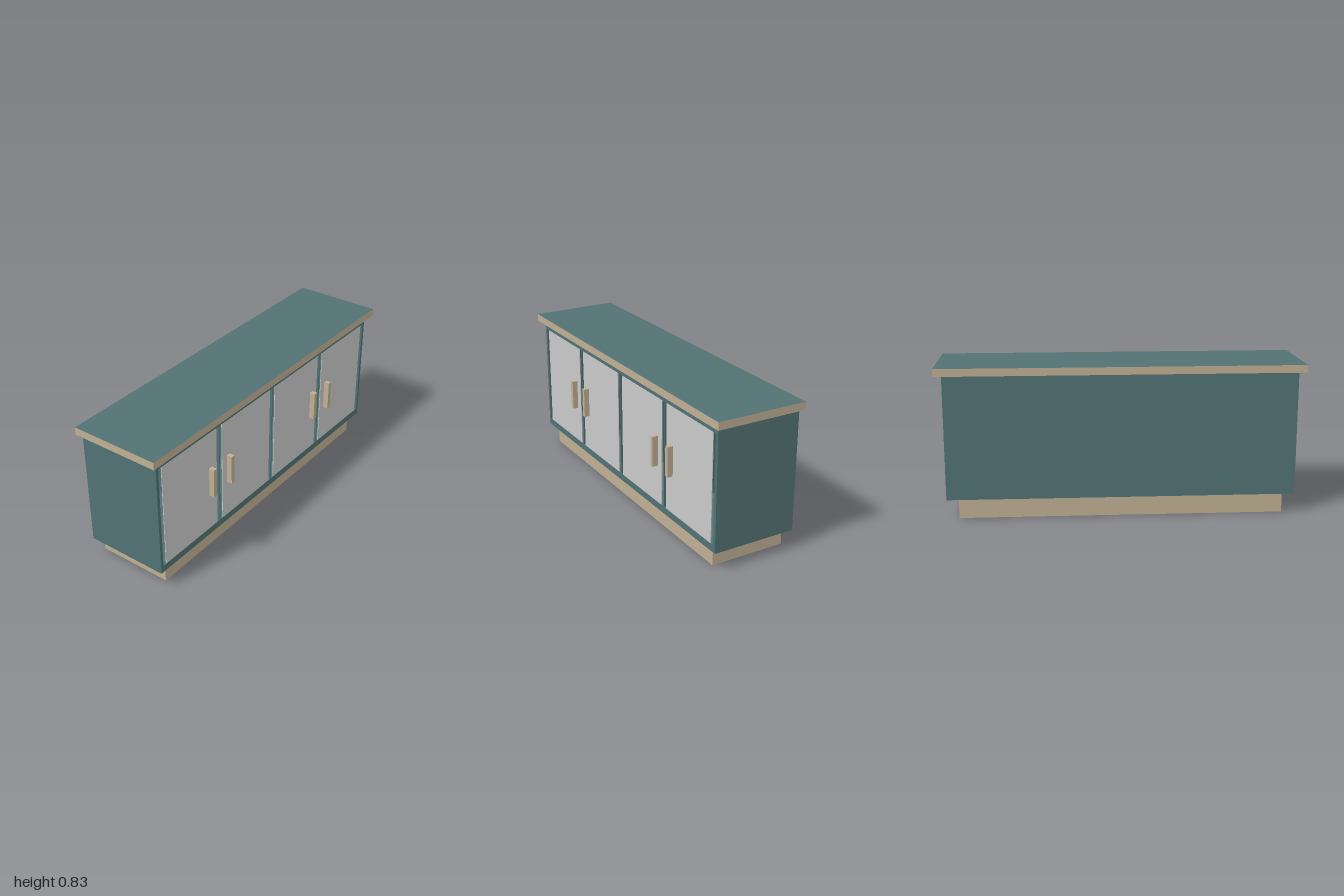
import * as THREE from 'three';

const mat = (name, color, side = THREE.FrontSide) => {
  const m = new THREE.MeshStandardMaterial({ color, side });
  m.name = name;
  return m;
};

export function createModel() {
  const teal = mat('teal paint', 0x527274);
  const wood = mat('light wood', 0xc0b093, THREE.DoubleSide);
  const grey = mat('grey door', 0xcacaca);

  const root = new THREE.Group();
  root.name = 'sideboard';

  // Box given by its extents on each axis
  const box = (name, material, [x0, x1], [y0, y1], [z0, z1], parent = root) => {
    const mesh = new THREE.Mesh(new THREE.BoxGeometry(x1 - x0, y1 - y0, z1 - z0), material);
    mesh.position.set((x0 + x1) / 2, (y0 + y1) / 2, (z0 + z1) / 2);
    mesh.name = name;
    parent.add(mesh);
    return mesh;
  };

  const W = 0.955, IN = 0.937;          // outer and inner half widths
  const Y0 = 0.108, Y1 = 0.788;         // carcass bottom and top
  const OPEN = [0.148, 0.745];          // opening height
  const BACK = -0.252, FRONT = 0.222;

  // Countertop: painted top face, wooden edges and underside
  box('countertop', [wood, wood, teal, wood, wood, wood], [-1, 1], [Y1, 0.83], [-0.253, 0.253]);

  // Hollow carcass
  const carcass = new THREE.Group();
  carcass.name = 'carcass';
  root.add(carcass);
  const depth = [BACK, FRONT];
  box('rightSide', teal, [-W, -IN], [Y0, Y1], depth, carcass);
  box('leftSide', teal, [IN, W], [Y0, Y1], depth, carcass);
  box('floorPanel', teal, [-IN, IN], [Y0, OPEN[0]], depth, carcass);
  box('topPanel', teal, [-IN, IN], [OPEN[1], Y1], depth, carcass);
  box('backPanel', teal, [-IN, IN], OPEN, [BACK, BACK + 0.006], carcass);

  // Four bays: partitions, doors with a gap at each side, and handles
  const bay = (2 * IN) / 4, gap = 0.023;
  for (let i = 0; i < 4; i++) {
    const x = -IN + i * bay;
    if (i > 0) box('partition', teal, [x - 0.0025, x + 0.0025], OPEN, [BACK + 0.006, FRONT], carcass);
    box('door', grey, [x + gap, x + bay - gap], OPEN, [FRONT - 0.004, FRONT]);
  }
  for (const x of [-0.544, -0.394, 0.394, 0.544]) {
    box('handle', wood, [x - 0.012, x + 0.012], [0.362, 0.532], [FRONT, 0.253]);
  }

  // Plinth: four thin boards, open below
  const plinth = new THREE.Group();
  plinth.name = 'plinth';
  root.add(plinth);
  const board = (width, x, z, turn) => {
    const mesh = new THREE.Mesh(new THREE.PlaneGeometry(width, Y0), wood);
    mesh.position.set(x, Y0 / 2, z);
    mesh.rotation.y = turn;
    mesh.name = 'plinthBoard';
    plinth.add(mesh);
  };
  const PX = 0.89, PF = 0.19, PB = -0.236;
  board(2 * PX, 0, PF, 0);
  board(2 * PX, 0, PB, Math.PI);
  for (const s of [-1, 1]) board(PF - PB, s * PX, (PF + PB) / 2, s * Math.PI / 2);

  return root;
}
